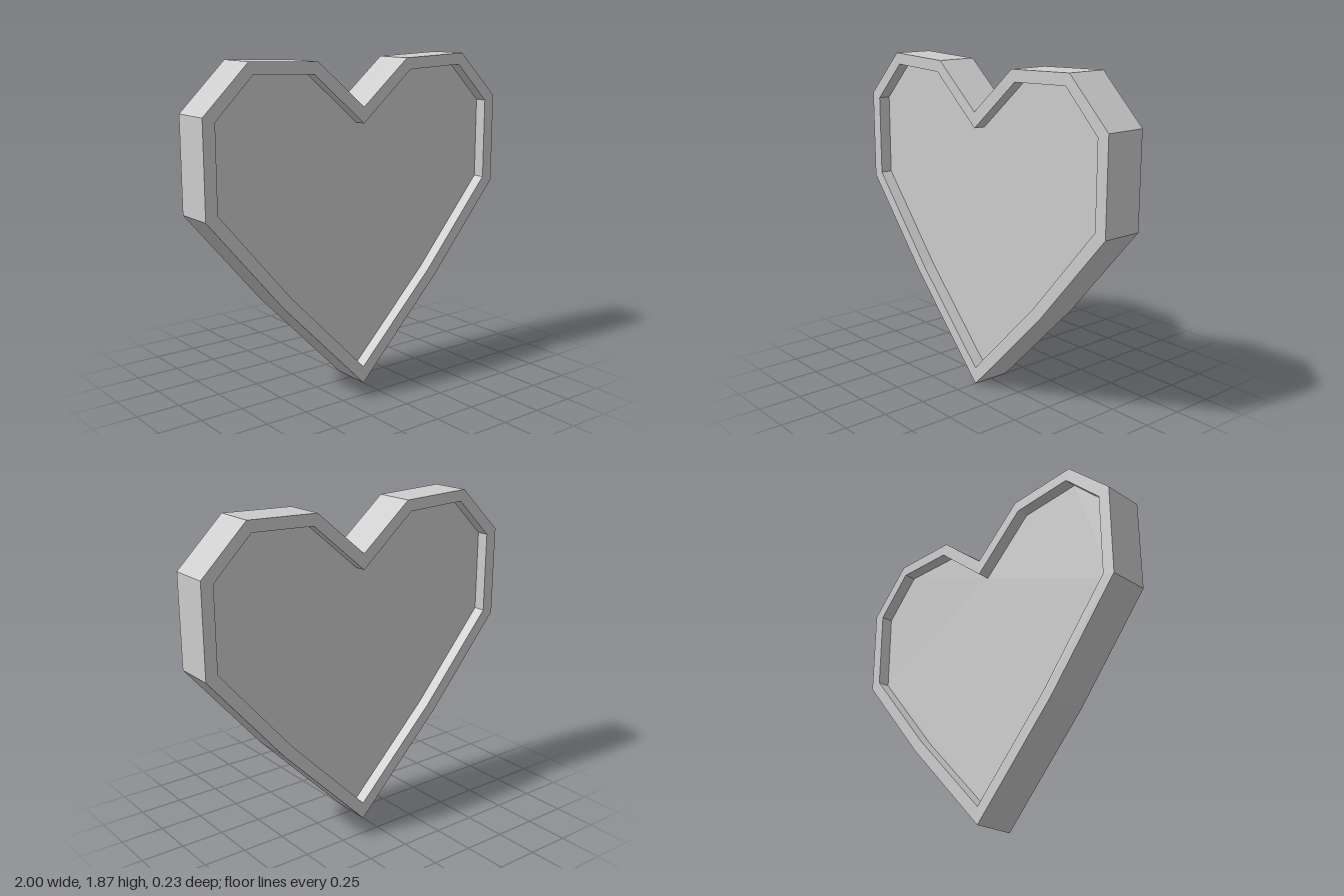
import * as THREE from 'three';

const THICKNESS = 0.235; // full depth of the rim
const RECESS = 0.07;     // how far the panel sits below the rim, front and back

// Right half of each outline, from the bottom tip up to the notch
const OUTER = [[0, 0], [0.545, 0.557], [1, 1.09], [1, 1.61], [0.73, 1.87], [0.305, 1.855], [0, 1.6]];
const INNER = [[0, 0.1], [0.493, 0.603], [0.93, 1.115], [0.93, 1.583], [0.705, 1.805], [0.33, 1.79], [0, 1.51]];

// Mirror a half outline across x = 0 into a closed loop
function heartPoints(half) {
  const mirrored = half.slice(1, -1).reverse().map(([x, y]) => [-x, y]);
  return [...half, ...mirrored].map(([x, y]) => new THREE.Vector2(x, y));
}

// Extrude a shape so that it is centred on z = 0
function slab(shape, depth) {
  const geometry = new THREE.ExtrudeGeometry(shape, { depth, bevelEnabled: false });
  return geometry.translate(0, 0, -depth / 2);
}

export function createModel() {
  const group = new THREE.Group();
  group.name = 'heart';
  const grey = new THREE.MeshStandardMaterial({ color: 0xcccccc });
  grey.name = 'light grey';
  grey.flatShading = true;

  // Raised rim around the heart
  const rimShape = new THREE.Shape(heartPoints(OUTER));
  rimShape.holes.push(new THREE.Path(heartPoints(INNER)));
  const rim = new THREE.Mesh(slab(rimShape, THICKNESS), grey);
  rim.name = 'rim';

  // Panel recessed on both sides
  const panelShape = new THREE.Shape(heartPoints(INNER));
  const panel = new THREE.Mesh(slab(panelShape, THICKNESS - 2 * RECESS), grey);
  panel.name = 'panel';

  group.add(rim, panel);
  return group;
}
